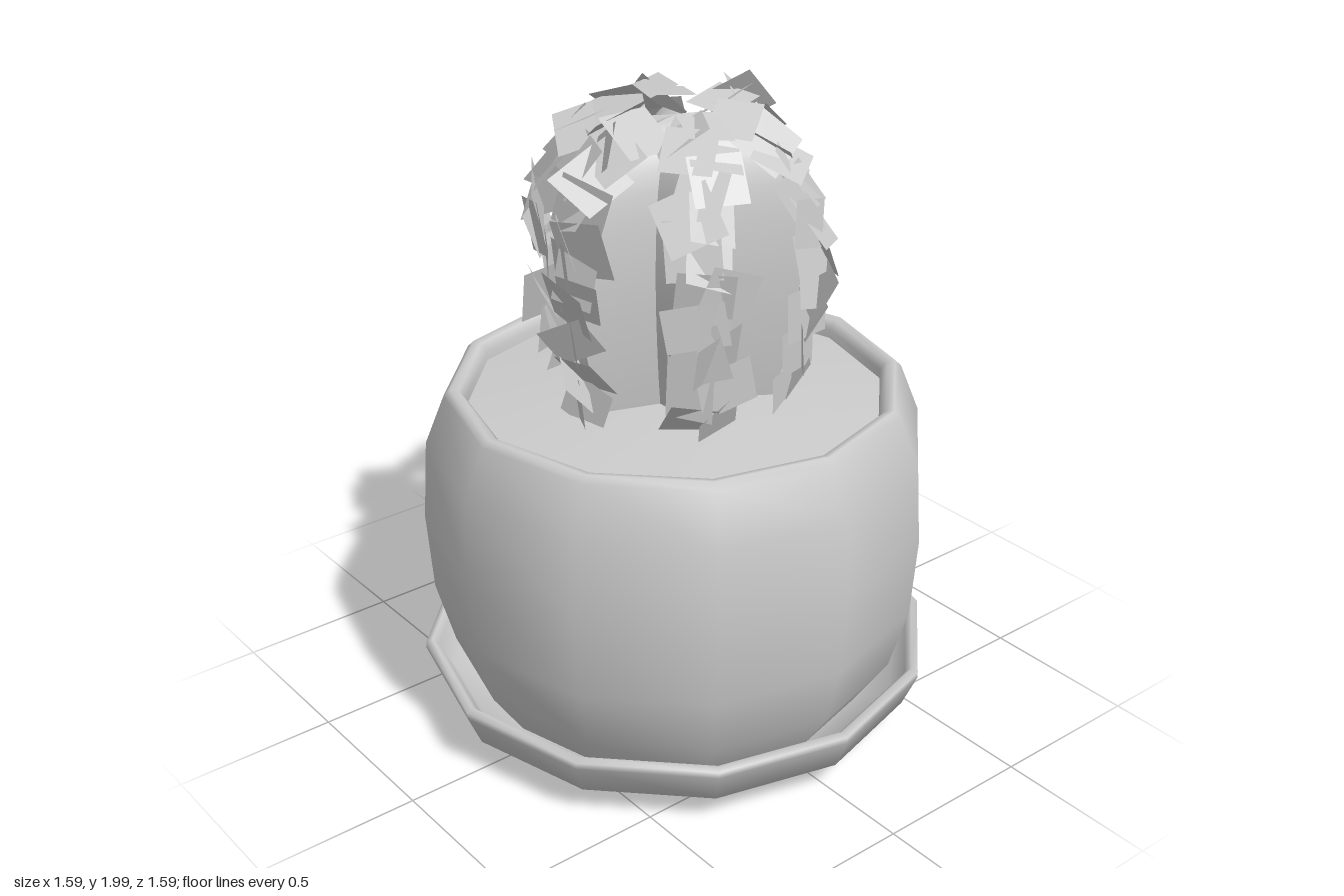
import * as THREE from 'three';
import { mergeGeometries } from 'three/addons/utils/BufferGeometryUtils.js';

const SIDES = 12, RIBS = 6;
const material = new THREE.MeshStandardMaterial({ color: 0xcccccc, side: THREE.DoubleSide });

let seed = 29;
const rand = () => (seed = (seed * 16807) % 2147483647) / 2147483647;
const jitter = (amount) => (rand() * 2 - 1) * amount;

const points = (list) => list.map(([r, y]) => new THREE.Vector2(r, y));

function addMesh(parent, name, geometry) {
  const mesh = new THREE.Mesh(geometry, material);
  mesh.name = name;
  parent.add(mesh);
}

const turned = (list) => new THREE.LatheGeometry(points(list), SIDES);

// Outline of a rib from soil to crown: x is radius, y is height
const ribCurve = new THREE.SplineCurve(points([
  [0.28, 1.02], [0.335, 1.2], [0.37, 1.42], [0.362, 1.6], [0.31, 1.76], [0.19, 1.87], [0, 1.91],
]));

// One flat side of a rib, running from angle a to angle b
function ribSide(a, scaleA, b, scaleB) {
  const rows = 14, position = [], index = [];
  for (let i = 0; i <= rows; i++) {
    const p = ribCurve.getPoint(i / rows);
    for (const [angle, s] of [[a, scaleA], [b, scaleB]]) {
      position.push(Math.sin(angle) * p.x * s, p.y, Math.cos(angle) * p.x * s);
    }
    if (i < rows) {
      const k = i * 2;
      index.push(k, k + 1, k + 3, k, k + 3, k + 2);
    }
  }
  const geometry = new THREE.BufferGeometry();
  geometry.setAttribute('position', new THREE.Float32BufferAttribute(position, 3));
  geometry.setIndex(index);
  geometry.computeVertexNormals();
  return geometry;
}

// Large crossed square spine cards that follow one rib
function spineCards(angle) {
  const cards = [], levels = 10;
  for (let i = 0; i < levels; i++) {
    const t = 0.11 + (0.75 * i) / (levels - 1);
    const p = ribCurve.getPoint(t), d = ribCurve.getTangent(t);
    const pitch = Math.atan2(d.x, d.y);
    for (const side of [-1, 1]) {
      const card = new THREE.PlaneGeometry(0.13 + rand() * 0.05, 0.13 + rand() * 0.05);
      card.rotateZ(jitter(0.4));
      card.rotateX(jitter(0.5));
      card.rotateY(side * 0.45 + jitter(0.4));
      card.translate(side * 0.025 + jitter(0.03), jitter(0.02), 0.04 + jitter(0.015));
      card.rotateX(pitch);
      card.translate(0, p.y, p.x);
      card.rotateY(angle);
      cards.push(card);
    }
  }
  return mergeGeometries(cards);
}

export function createModel() {
  const model = new THREE.Group();
  model.name = 'pottedCactus';

  // Saucer with a softly rounded underside
  addMesh(model, 'saucer', turned([
    [0, 0.003], [0.6, 0.02], [0.75, 0.1], [0.795, 0.205], [0.795, 0.225], [0.775, 0.235],
    [0.755, 0.215], [0.71, 0.13], [0.6, 0.08],
  ]));

  // Pot with a rolled rim
  addMesh(model, 'pot', turned([
    [0.6, 0.08], [0.7, 0.23], [0.755, 0.43], [0.772, 0.68], [0.755, 0.93],
    [0.695, 1.08], [0.675, 1.1], [0.65, 1.095], [0.63, 1.07], [0.63, 1.0],
  ]));

  // Soil, slightly domed
  addMesh(model, 'soil', turned([[0.64, 1.04], [0.3, 1.075], [0, 1.085]]));

  // Cactus body: six sharp ribs with deep valleys between
  const cactus = new THREE.Group();
  cactus.name = 'cactus';
  cactus.rotation.y = 0.08;
  const step = Math.PI / RIBS, valley = 0.54, sides = [];
  for (let i = 0; i < RIBS; i++) {
    const a = i * 2 * step;
    sides.push(ribSide(a - step, valley, a, 1), ribSide(a, 1, a + step, valley));
  }
  addMesh(cactus, 'cactusBody', mergeGeometries(sides));

  // Spines along every rib
  for (let i = 0; i < RIBS; i++) addMesh(cactus, 'ribSpines' + (i + 1), spineCards(i * 2 * step));
  model.add(cactus);

  return model;
}
